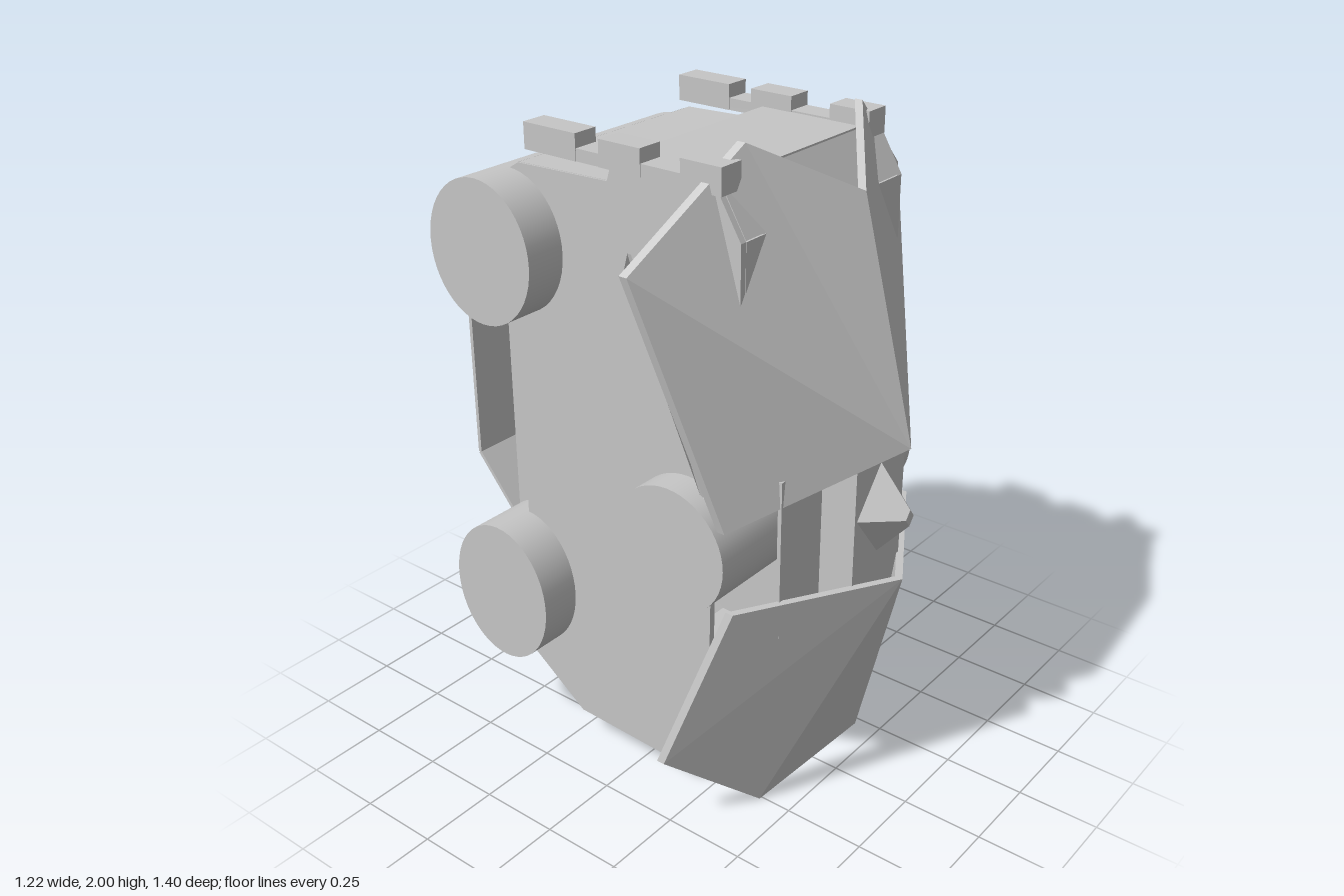
import * as THREE from 'three';

const grey = new THREE.MeshStandardMaterial({ color: 0xc6c6c6 });

export function createModel() {
  const model = new THREE.Group();
  const add = (name, geometry, x = 0, y = 0, z = 0) => {
    const mesh = new THREE.Mesh(geometry, grey);
    mesh.name = name;
    mesh.position.set(x, y, z);
    model.add(mesh);
    return mesh;
  };
  const box = (name, x0, x1, y0, y1, z0, z1) =>
    add(name, new THREE.BoxGeometry(x1 - x0, y1 - y0, z1 - z0), (x0 + x1) / 2, (y0 + y1) / 2, (z0 + z1) / 2);

  // Upright plate with a [z, y] outline
  const plate = (name, outline, x0, x1) => {
    const shape = new THREE.Shape(outline.map(([z, y]) => new THREE.Vector2(-z, y)));
    const geometry = new THREE.ExtrudeGeometry(shape, { depth: x1 - x0, bevelEnabled: false });
    geometry.rotateY(Math.PI / 2);
    add(name, geometry, x0);
  };

  // Folded sheet following a [z, y] path
  const sheet = (name, path, x0, x1, t = 0.012) => {
    for (let i = 0; i + 1 < path.length; i++) {
      const [z0, y0] = path[i], [z1, y1] = path[i + 1];
      const dz = z1 - z0, dy = y1 - y0;
      const mesh = add(name, new THREE.BoxGeometry(x1 - x0, t, Math.hypot(dz, dy)),
        (x0 + x1) / 2, (y0 + y1) / 2, (z0 + z1) / 2);
      mesh.rotation.x = -Math.atan2(dy, dz);
    }
  };

  // Thick faceted panel: a fan from the first corner, with a back and a rim
  const shell = (name, corners, side, back = 0.025) => {
    let pts = corners.map(([x, y, z]) => [x * side, y, z]);
    if (side < 0) pts = [pts[0], ...pts.slice(1).reverse()];
    const rear = pts.map(([x, y, z]) => [x, y, z - back]);
    const n = pts.length, v = [];
    for (let i = 1; i + 1 < n; i++) {
      v.push(...pts[0], ...pts[i], ...pts[i + 1]);
      v.push(...rear[0], ...rear[i + 1], ...rear[i]);
    }
    for (let i = 0; i < n; i++) {
      const j = (i + 1) % n;
      v.push(...pts[i], ...rear[i], ...rear[j], ...pts[i], ...rear[j], ...pts[j]);
    }
    const geometry = new THREE.BufferGeometry();
    geometry.setAttribute('position', new THREE.Float32BufferAttribute(v, 3));
    geometry.computeVertexNormals();
    add(name, geometry);
  };

  // Hollow body: two side plates joined by folded sheets
  const outline = [
    [0.30, 1.92], [0.385, 1.78], [0.385, 1.4], [0.29, 1.1], [0.29, 0.7], [0.28, 0.2],
    [0.18, 0.085], [-0.22, 0.1], [-0.41, 0.24], [-0.41, 1.82], [-0.37, 1.845], [-0.05, 1.855], [-0.03, 1.92],
  ];
  plate('rightSidePlate', outline, -0.36, -0.34);
  plate('leftSidePlate', outline, 0.355, 0.375);
  sheet('topSheet', [[-0.41, 1.815], [-0.37, 1.84], [-0.05, 1.85], [-0.03, 1.914], [0.30, 1.914]], -0.355, 0.37);
  sheet('upperFrontSheet', [[0.30, 1.914], [0.38, 1.78], [0.38, 1.4]], -0.34, 0.37);
  sheet('bottomSheet', [[0.28, 0.2], [0.18, 0.092], [-0.22, 0.107], [-0.41, 0.24], [-0.52, 0.3]], -0.355, 0.37);
  plate('innerRib', [[-0.3, 1.45], [-0.52, 1.45], [-0.52, 0.3], [-0.3, 0.3]], -0.29, -0.28);

  // Cross cylinders: name, x from, x to, y, z, radius in y, radius in z
  for (const [name, x0, x1, y, z, ry, rz] of [
    ['upperRearCylinder', -0.49, 0.35, 1.615, -0.41, 0.21, 0.19],
    ['lowerRearCylinder', -0.49, 0.49, 0.525, -0.415, 0.225, 0.185],
    ['middleCylinder', -0.45, 0.49, 0.89, 0.213, 0.19, 0.19],
  ]) {
    const geometry = new THREE.CylinderGeometry(1, 1, x1 - x0, 48);
    geometry.rotateZ(Math.PI / 2).scale(1, ry, rz);
    add(name, geometry, (x0 + x1) / 2, y, z);
  }

  // Folded guard at the back
  sheet('rearGuard', [[-0.54, 1.465], [-0.695, 1.365], [-0.695, 0.83], [-0.55, 0.655]], -0.28, 0.28);

  // Toothed rails on the top
  for (const x of [-0.328, 0.323]) {
    box('railBase', x - 0.038, x + 0.038, 1.89, 1.925, -0.32, 0.32);
    for (const [z0, z1] of [[0.2, 0.33], [-0.07, 0.07], [-0.335, -0.15]])
      box('railTooth', x - 0.04, x + 0.04, 1.89, 1.965, z0, z1);
  }

  // Front panel with a raised centre and a blunt four-sided stud
  box('frontPanel', -0.31, 0.31, 0.64, 1.13, 0.478, 0.49);
  box('frontPanelCentre', -0.12, 0.12, 0.64, 1.12, 0.485, 0.6);
  const stud = new THREE.CylinderGeometry(0.02, 0.11, 0.1, 4, 1).toNonIndexed();
  stud.rotateX(Math.PI / 2).scale(1, 1.27, 1);
  stud.computeVertexNormals();
  add('stud', stud, 0, 0.96, 0.65);

  // Faceted upper and lower front shields, mirrored
  for (const side of [-1, 1]) {
    shell('upperShield', [[0, 1.17, 0.69], [0.44, 1.0, 0.4], [0.61, 1.73, 0.23], [0.26, 2, 0.32], [0, 1.85, 0.51]], side);
    shell('lowerShield', [[0, 0.76, 0.69], [0, 0.2, 0.56], [0.26, 0, 0.4], [0.56, 0.26, 0.28], [0.44, 0.76, 0.43]], side);
    shell('upperShieldFlange', [[0.61, 1.73, 0.23], [0.44, 1.0, 0.4], [0.4, 1.06, 0.3], [0.54, 1.76, 0.185]], side, 0.012);
  }
  return model;
}
